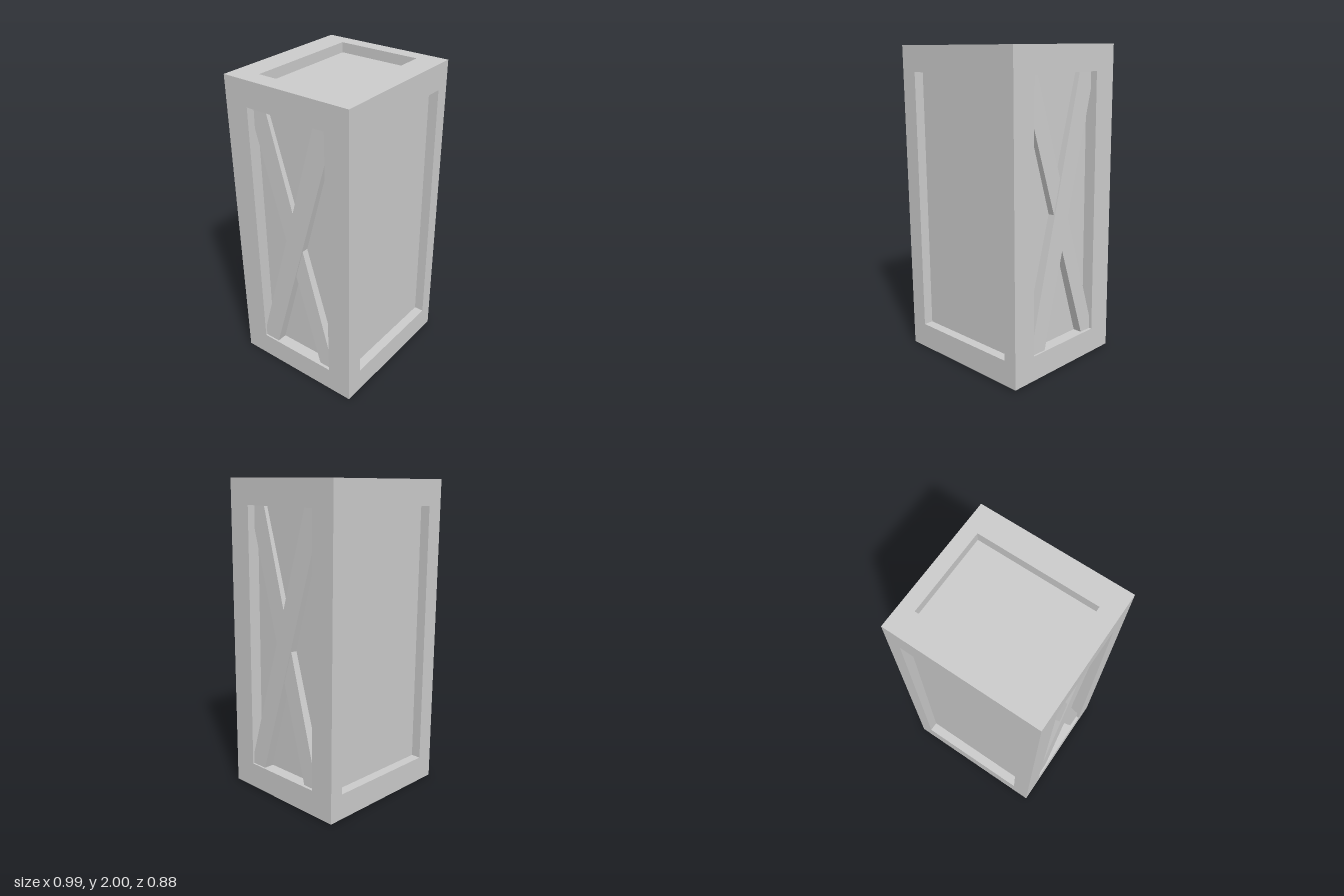
import * as THREE from 'three';

export function createModel() {
  const model = new THREE.Group();
  model.name = 'crate';
  const mat = new THREE.MeshStandardMaterial({ color: 0xcccccc, flatShading: true });

  // Half sizes of the crate, and the edges of the framed openings
  const W = 0.483, H = 0.994, D = 0.439;
  const left = -0.368, right = 0.393, openY = 0.833, openZ = 0.277;

  // The whole crate leans very slightly to one side
  const body = new THREE.Group();
  body.name = 'leaningBody';
  body.position.y = 1;
  body.rotation.z = 0.0124;
  model.add(body);

  // Box given by its minimum and maximum along each axis
  function box(name, x0, x1, y0, y1, z0, z1) {
    const mesh = new THREE.Mesh(new THREE.BoxGeometry(x1 - x0, y1 - y0, z1 - z0), mat);
    mesh.position.set((x0 + x1) / 2, (y0 + y1) / 2, (z0 + z1) / 2);
    mesh.name = name;
    body.add(mesh);
  }

  // Recessed inner panels, as one core box
  box('innerPanels', -W + 0.078, W - 0.078, -H + 0.065, H - 0.065, -D + 0.063, D - 0.063);

  // Frame: corner posts, front and back rails, side rails
  const xs = [[-W, left], [right, W]];
  const ys = [[-H, -openY], [openY, H]];
  const zs = [[-D, -openZ], [openZ, D]];
  for (const x of xs) for (const z of zs) box('cornerPost', ...x, -H, H, ...z);
  for (const y of ys) for (const z of zs) box('crossRail', left, right, ...y, ...z);
  for (const x of xs) for (const y of ys) box('sideRail', ...x, ...y, -openZ, openZ);

  // Diagonal planks, with ends cut to fit the corners of the opening
  const planks = [
    ['lowerBrace', 0.447, [[-0.19, openY], [-openZ, openY], [-openZ, 0.69],
      [0.19, -openY], [openZ, -openY], [openZ, -0.75]]],
    ['upperBrace', 0.455, [[0.17, openY], [-openZ, -0.758], [-openZ, -openY],
      [-0.17, -openY], [openZ, 0.73], [openZ, openY]]],
  ];
  const depth = 0.09;
  for (const [sideName, turn] of [['leftBraces', 0], ['rightBraces', Math.PI]]) {
    const side = new THREE.Group();
    side.name = sideName;
    side.rotation.y = turn;
    for (const [name, faceX, points] of planks) {
      const shape = new THREE.Shape(points.map(([u, v]) => new THREE.Vector2(u, v)));
      const geo = new THREE.ExtrudeGeometry(shape, { depth, bevelEnabled: false });
      // Tops lean inward, towards the panel
      geo.translate(0, 0, -depth).rotateX(-0.02).translate(0, 0, faceX).rotateY(Math.PI / 2);
      const mesh = new THREE.Mesh(geo, mat);
      mesh.name = name;
      side.add(mesh);
    }
    body.add(side);
  }
  return model;
}
